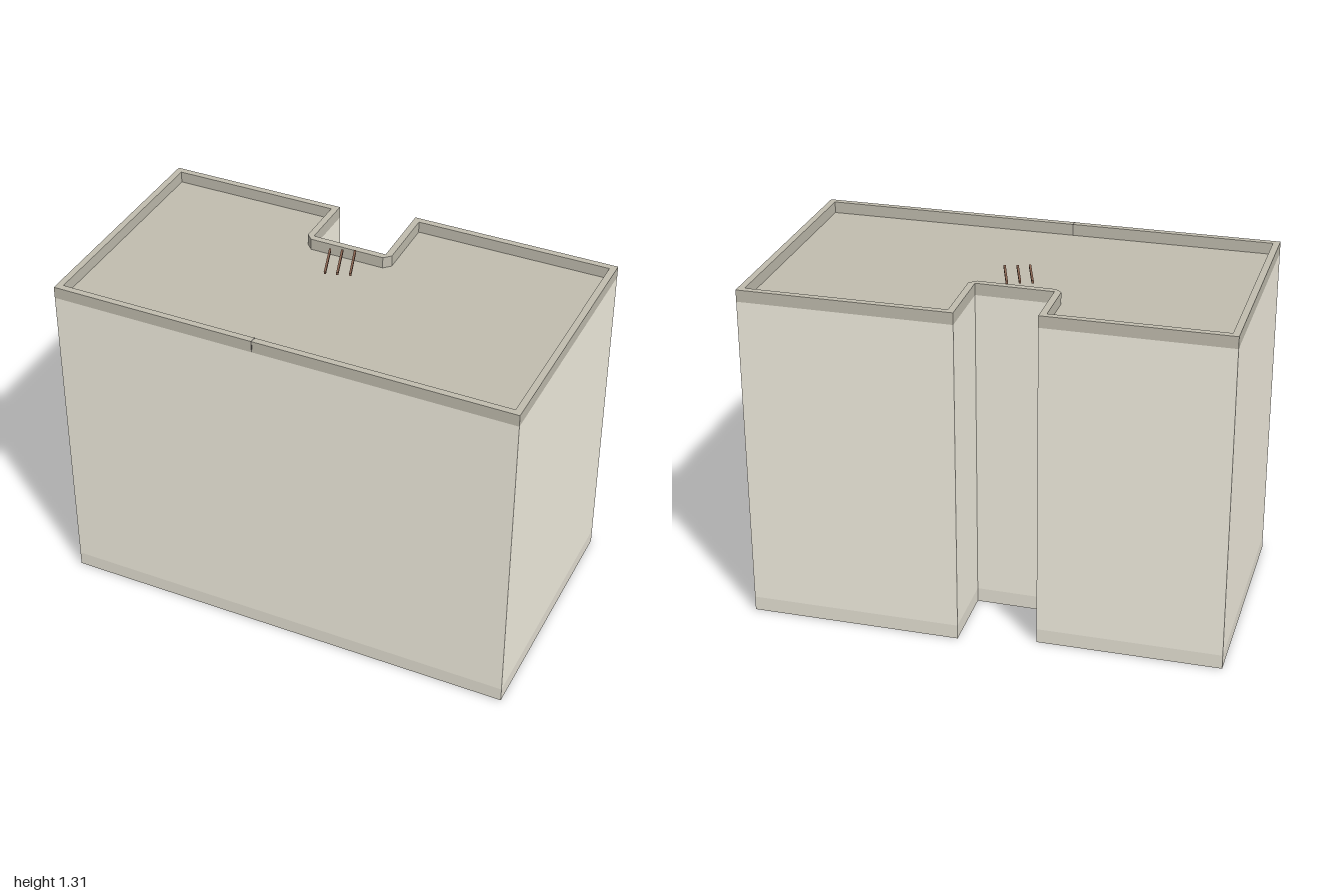
import * as THREE from 'three';

const mat = (color) => new THREE.MeshStandardMaterial({ color });
const wallMat = mat(0xf2eee0), plinthMat = mat(0xe4e0d3), roofMat = mat(0xc0bcae);
const glassMat = mat(0x525654), trimMat = mat(0x6a6762), railMat = mat(0x7a9cab), barMat = mat(0x8a6450);

// Footprint corners as [x, z], with a notch in the back wall
const OUTLINE = [
  [-0.709, -0.725], [-0.05, -0.507], [-0.121, -0.292], [0.155, -0.197],
  [0.24, -0.467], [1, -0.215], [0.69, 0.725], [-1, 0.16],
];
const N = OUTLINE.length;
const WALL = 0.01, PARAPET = 0.025, ROOF_Y = 1.26, TOP_Y = 1.305, FLOOR = 0.21;

// Unit direction and inward normal of edge i
function edge(points, i) {
  const [ax, az] = points[i], [bx, bz] = points[(i + 1) % N];
  const length = Math.hypot(bx - ax, bz - az);
  const dx = (bx - ax) / length, dz = (bz - az) / length;
  return { ax, az, dx, dz, nx: -dz, nz: dx, length };
}

// Footprint moved inwards by a distance; the notch's inner corners may be bevelled
function inset(distance, bevel = false) {
  return OUTLINE.flatMap(([x, z], i) => {
    const a = edge(OUTLINE, (i + N - 1) % N), b = edge(OUTLINE, i);
    if (bevel && a.dx * b.dz - a.dz * b.dx < 0) {
      return [a, b].map((e) => [x + e.nx * distance, z + e.nz * distance]);
    }
    const k = distance / (1 + a.nx * b.nx + a.nz * b.nz);
    return [[x + (a.nx + b.nx) * k, z + (a.nz + b.nz) * k]];
  });
}

// Counter-clockwise shape points
const toVectors = (points) => points.map(([x, z]) => new THREE.Vector2(x, -z)).reverse();

// Upright prism of a footprint, with an optional hole
function prism(name, points, hole, y0, y1, material) {
  const shape = new THREE.Shape(toVectors(points));
  if (hole) shape.holes.push(new THREE.Path(toVectors(hole)));
  const geometry = new THREE.ExtrudeGeometry(shape, { depth: y1 - y0, bevelEnabled: false });
  geometry.rotateX(-Math.PI / 2);
  const mesh = new THREE.Mesh(geometry, material);
  mesh.position.y = y0;
  mesh.name = name;
  return mesh;
}

function box(parent, name, [w, h, d], [x, y, z], material) {
  const mesh = new THREE.Mesh(new THREE.BoxGeometry(w, h, d), material);
  mesh.position.set(x, y, z);
  mesh.name = name;
  parent.add(mesh);
}

function addWindow(parent, x, y) {
  const w = 0.098, h = 0.115;
  box(parent, 'windowPane', [w, h, 0.006], [x, y, 0.003], glassMat);
  for (const s of [-1, 1]) {
    box(parent, 'windowJamb', [0.006, h, 0.012], [x + s * w / 2, y, 0.006], trimMat);
  }
  box(parent, 'windowLintel', [w + 0.006, 0.006, 0.012], [x, y + h / 2, 0.006], trimMat);
  box(parent, 'windowSill', [w + 0.02, 0.008, 0.02], [x, y - h / 2, 0.01], trimMat);
}

function addBalcony(parent, x, y) {
  const w = 0.14, d = 0.06, base = y - 0.066;
  box(parent, 'balconySlab', [w, 0.016, d], [x, base, d / 2], trimMat);
  box(parent, 'balconyFrontPanel', [w - 0.016, 0.04, 0.004], [x, base + 0.028, d - 0.008], railMat);
  for (const s of [-1, 1]) {
    box(parent, 'balconySidePanel', [0.004, 0.04, d - 0.01], [x + s * (w / 2 - 0.01), base + 0.028, d / 2 - 0.005], railMat);
  }
  box(parent, 'balconyHandrail', [w - 0.016, 0.005, 0.007], [x, base + 0.05, d - 0.008], trimMat);
}

export function createModel() {
  const model = new THREE.Group();
  model.name = 'building';
  const inner = inset(WALL);

  // Shell, open at the bottom
  model.add(prism('plinth', OUTLINE, inner, 0, 0.055, plinthMat));
  model.add(prism('walls', OUTLINE, inner, 0.055, ROOF_Y, wallMat));
  model.add(prism('parapet', OUTLINE, inset(PARAPET, true), ROOF_Y, TOP_Y, roofMat));
  model.add(prism('roof', inset(0.005), null, ROOF_Y - 0.015, ROOF_Y + 0.001, roofMat));

  // Facades on the inside of the shell: columns that carry balconies, by edge
  const balconies = { 0: [1], 4: [2], 6: [3, 5, 8], 7: [0] };
  for (let i = 0; i < N; i++) {
    const e = edge(inner, i);
    const facade = new THREE.Group();
    facade.name = 'facade';
    facade.position.set(e.ax, 0, e.az);
    facade.rotation.y = Math.atan2(e.nx, e.nz);
    model.add(facade);

    const columns = Math.max(1, Math.round(e.length / 0.197));
    for (let c = 0; c < columns; c++) {
      const x = ((c + 0.5) / columns) * e.length;
      for (let f = 0; f < 6; f++) {
        const y = 0.092 + f * FLOOR;
        addWindow(facade, x, y);
        if (f > 0 && balconies[i]?.includes(c)) addBalcony(facade, x, y);
      }
      // Row of small vents along the base
      for (let v = -2; v <= 2; v++) {
        box(facade, 'baseVent', [0.007, 0.006, 0.004], [x + v * 0.018, 0.018, 0.002], trimMat);
      }
    }
    // Bottom edge strip
    box(facade, 'baseTrim', [e.length, 0.006, 0.005], [e.length / 2, 0.003, 0.0025], trimMat);

    // Joint in the front parapet
    if (i === 6) {
      box(facade, 'parapetJoint', [0.004, 0.044, PARAPET + 0.002],
        [e.length * 0.556, 1.2835, PARAPET / 2 - WALL], trimMat);
    }
  }

  // Three parallel bars above the roof
  for (const x of [-0.05, -0.005, 0.042]) {
    box(model, 'roofBar', [0.008, 0.01, 0.157], [x, 1.307, -0.123], barMat);
  }
  return model;
}
